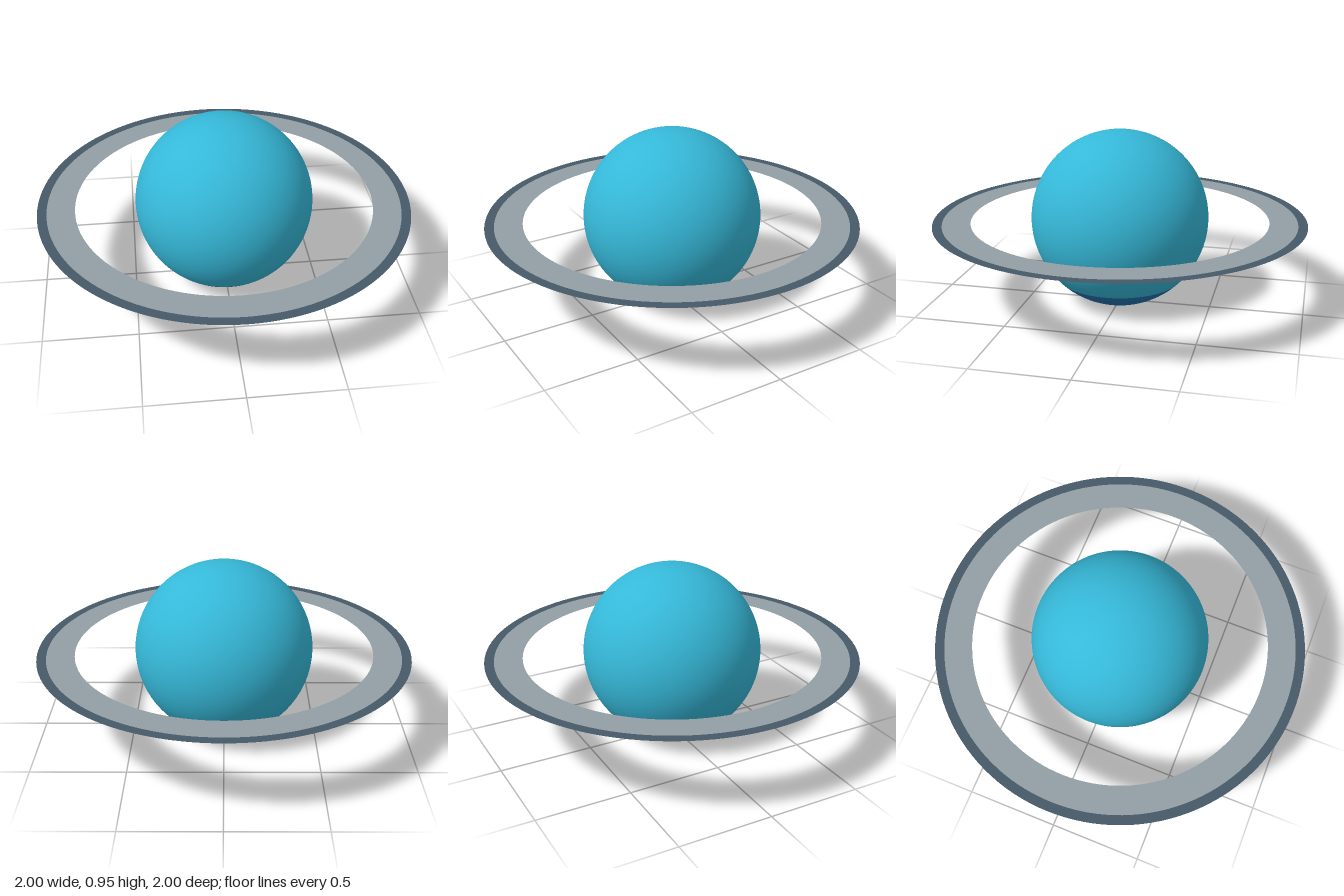
import * as THREE from 'three';

export function createModel() {
  const model = new THREE.Group();
  model.name = 'ringedPlanet';

  const material = (name, color, side = THREE.FrontSide) => {
    const m = new THREE.MeshStandardMaterial({ color, side });
    m.name = name;
    return m;
  };
  const teal = material('teal', 0x35b8d8);
  const deepBlue = material('deepBlue', 0x2270b0);
  const paleGrey = material('paleGrey', 0x929fa5, THREE.DoubleSide);
  const slate = material('slate', 0x465a69, THREE.DoubleSide);

  const radius = 0.477;
  const capStart = Math.PI * 0.75; // polar angle where the south cap begins

  const add = (name, geometry, mat) => {
    const mesh = new THREE.Mesh(geometry, mat);
    mesh.name = name;
    mesh.position.y = radius;
    model.add(mesh);
    return mesh;
  };

  // Globe, split into the main body and the southern polar cap
  add('planetBody', new THREE.SphereGeometry(radius, 96, 48, 0, Math.PI * 2, 0, capStart), teal);
  add('southPolarCap', new THREE.SphereGeometry(radius, 96, 16, 0, Math.PI * 2, capStart, Math.PI - capStart), deepBlue);

  // Flat equatorial rings
  const addRing = (name, inner, outer, mat) => {
    add(name, new THREE.RingGeometry(inner, outer, 128), mat).rotation.x = -Math.PI / 2;
  };
  addRing('innerRing', 0.8, 0.95, paleGrey);
  addRing('outerRing', 0.95, 1, slate);

  return model;
}
